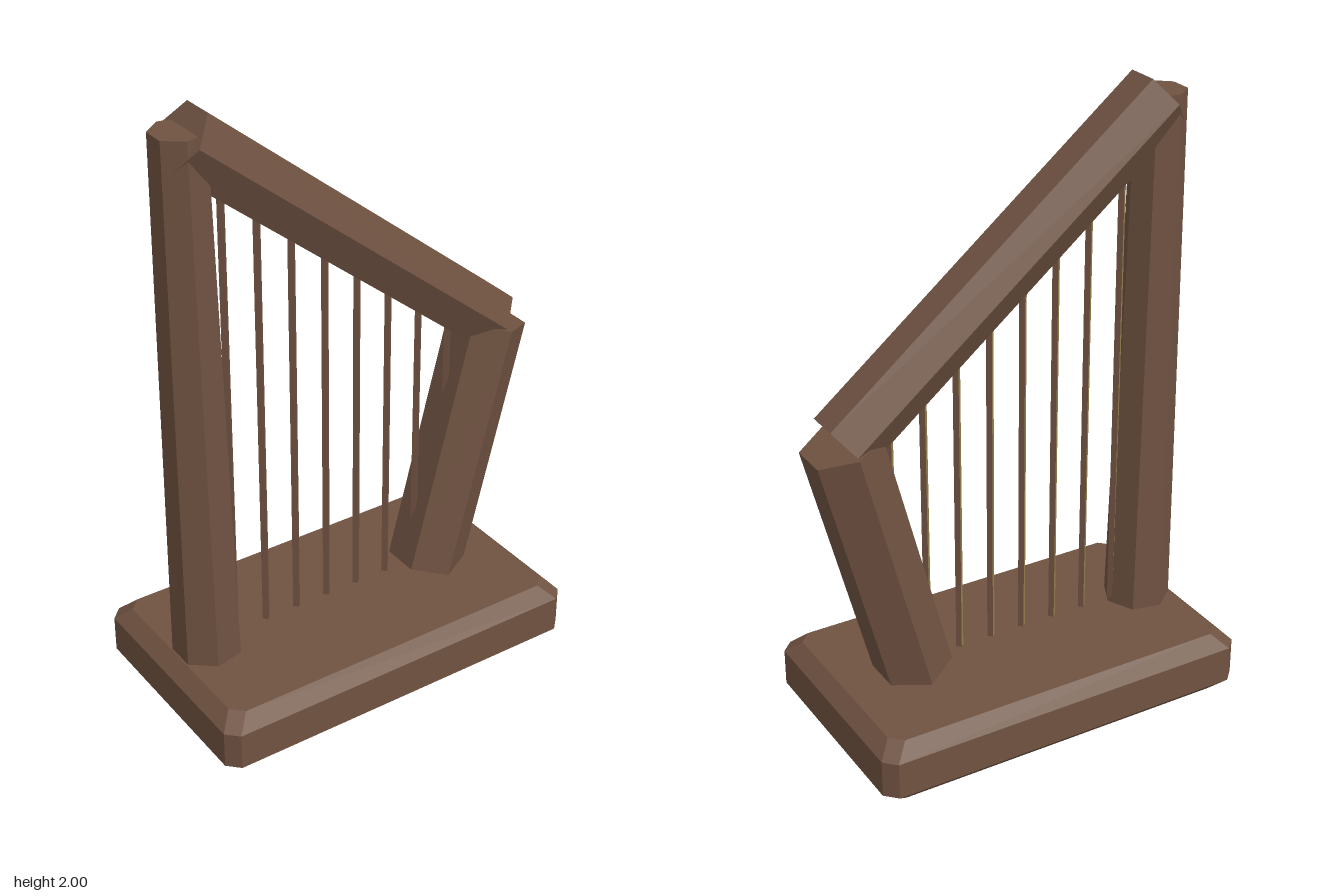
import * as THREE from 'three';
import { ConvexGeometry } from 'three/addons/geometries/ConvexGeometry.js';

const mat = (name, color) => {
  const m = new THREE.MeshStandardMaterial({ color, flatShading: true });
  m.name = name;
  return m;
};

export function createModel() {
  const group = new THREE.Group();
  const wood = mat('brown wood', 0x6f5241);
  const gold = mat('string gold', 0x94824c);

  const add = (name, geometry, material, parent = group) => {
    const mesh = new THREE.Mesh(geometry, material);
    mesh.name = name;
    parent.add(mesh);
    return mesh;
  };

  // Straight prism between two points in the z = 0 plane
  const beam = (name, [ax, ay], [bx, by], r0, r1, sides, start = 0) => {
    const length = Math.hypot(bx - ax, by - ay);
    const mesh = add(name, new THREE.CylinderGeometry(r1, r0, length, sides, 1, false, start), wood);
    mesh.position.set((ax + bx) / 2, (ay + by) / 2, 0);
    mesh.rotation.z = -Math.atan2(bx - ax, by - ay);
    return mesh;
  };

  // Base slab with chamfered corners and rims
  const c = 0.038;
  const points = [];
  for (const [y, inset] of [[0, 0.045], [0.045, 0], [0.167, 0], [0.212, 0.045]]) {
    const hx = 0.64 - inset, hz = 0.378 - inset;
    for (const sx of [-1, 1]) for (const sz of [-1, 1]) {
      points.push(new THREE.Vector3(-0.02 + sx * hx, y, sz * (hz - c)));
      points.push(new THREE.Vector3(-0.02 + sx * (hx - c), y, sz * hz));
    }
  }
  add('base', new ConvexGeometry(points), wood);

  // Frame: tapered seven-sided pillar, six-sided neck and sound post
  beam('pillar', [-0.511, 0.19], [-0.533, 1.948], 0.11, 0.084, 7, Math.PI / 2);
  beam('neck', [-0.529, 1.9275], [0.546, 1.0575], 0.108, 0.108, 6);
  beam('soundPost', [0.33, 0.213], [0.549, 1.056], 0.125, 0.125, 6);

  // Strings: four-sided, with one gold face towards the back of the pillar
  const strings = new THREE.Group();
  strings.name = 'strings';
  group.add(strings);
  const bottom = 0.23, r = 0.013;
  for (let i = 0; i < 8; i++) {
    const x = -0.41 + i * 0.1145;
    const h = 1.74 - 0.81 * (x + 0.41) - bottom;
    const body = new THREE.CylinderGeometry(r, r, h, 3, 1, false, -Math.PI / 2, Math.PI * 1.5);
    const face = new THREE.CylinderGeometry(r, r, h, 1, 1, true, Math.PI, Math.PI / 2);
    add('string', body, wood, strings).position.set(x, bottom + h / 2, 0);
    add('stringFace', face, gold, strings).position.set(x, bottom + h / 2, 0);
  }
  return group;
}
